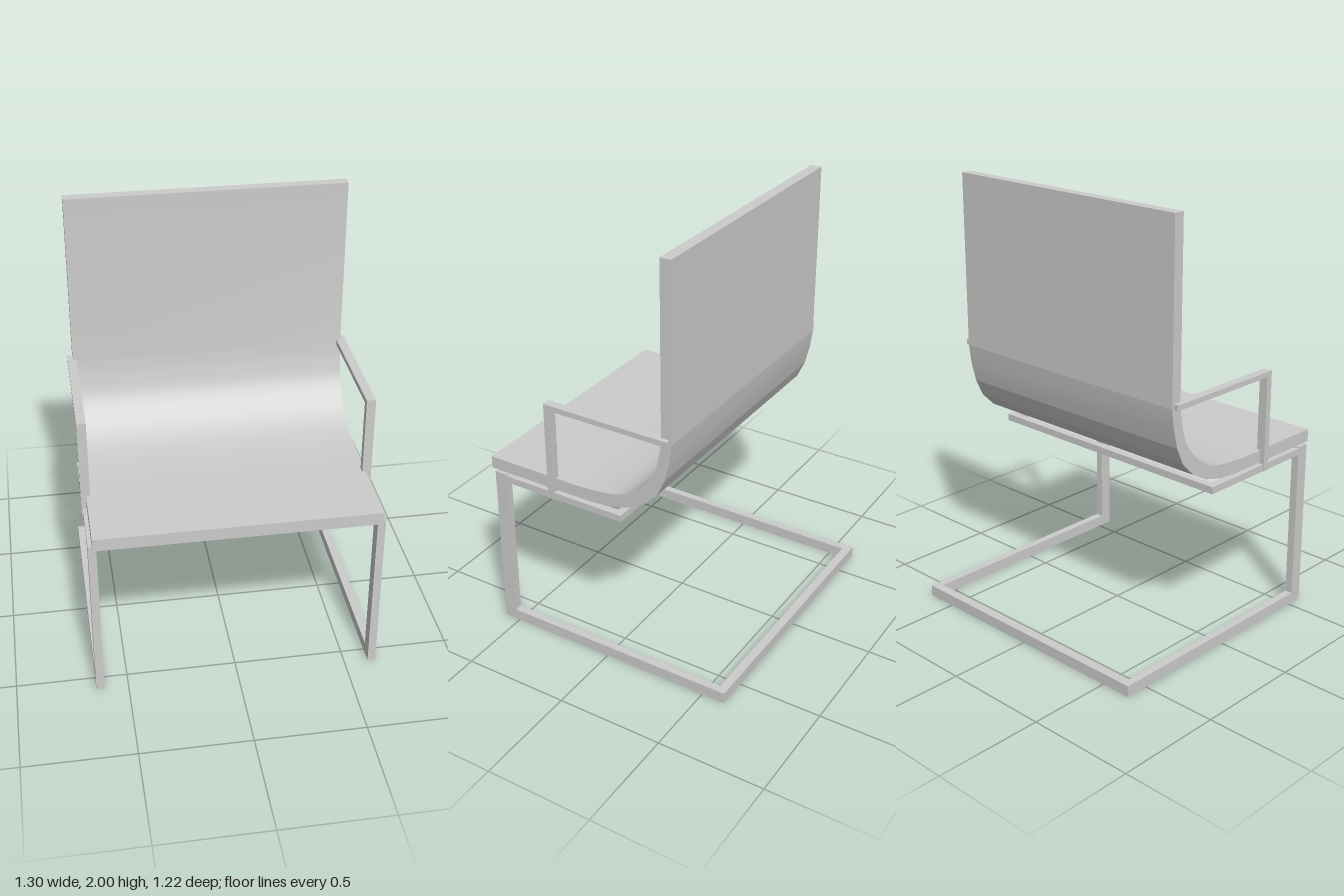
import * as THREE from 'three';
import { toCreasedNormals } from 'three/addons/utils/BufferGeometryUtils.js';

const material = new THREE.MeshStandardMaterial({ color: 0xcccccc });

// Box given by its extents along each axis
function bar(name, [x0, x1], [y0, y1], [z0, z1]) {
  const mesh = new THREE.Mesh(new THREE.BoxGeometry(x1 - x0, y1 - y0, z1 - z0), material);
  mesh.position.set((x0 + x1) / 2, (y0 + y1) / 2, (z0 + z1) / 2);
  mesh.name = name;
  return mesh;
}

// Seat and backrest as one bent sheet: side profile in (z, y), extruded across x
function createShell() {
  const halfWidth = 0.627;
  const v = (z, y) => new THREE.Vector2(z, y);
  const innerBend = new THREE.SplineCurve([
    v(0.14, 0.853), v(0, 0.864), v(-0.1, 0.89), v(-0.185, 0.951),
    v(-0.248, 1.035), v(-0.276, 1.13), v(-0.287, 1.21),
  ]).getPoints(42);
  const outerBend = [
    v(-0.337, 1.2), v(-0.325, 1.11), v(-0.302, 1.02), v(-0.265, 0.94),
    v(-0.2, 0.875), v(-0.115, 0.828), v(-0.015, 0.802), v(0.08, 0.795),
  ];
  const shape = new THREE.Shape([
    v(0.61, 0.795), v(0.61, 0.853), ...innerBend,
    v(-0.287, 2), v(-0.337, 2), ...outerBend,
  ]);
  let geometry = new THREE.ExtrudeGeometry(shape, { depth: halfWidth * 2, bevelEnabled: false });
  geometry.translate(0, 0, -halfWidth);
  geometry.rotateY(-Math.PI / 2); // profile x becomes z
  // Smooth the fine inner bend, keep the coarse outer facets crisp
  geometry = toCreasedNormals(geometry, 0.13);
  const mesh = new THREE.Mesh(geometry, material);
  mesh.name = 'seatAndBackrest';
  return mesh;
}

export function createModel() {
  const group = new THREE.Group();
  group.name = 'cantileverChair';
  group.add(createShell());

  // Mirrored side members
  for (const side of [1, -1]) {
    const label = side > 0 ? 'left' : 'right';
    const span = (a, b) => (side > 0 ? [a, b] : [-b, -a]);
    const tube = span(0.609, 0.645);
    group.add(
      bar(label + 'FrontLeg', tube, [0, 0.795], [0.518, 0.578]),
      bar(label + 'FloorRail', tube, [0, 0.052], [-0.57, 0.518]),
      bar(label + 'SeatRail', tube, [0.757, 0.789], [-0.092, 0.518]),
      bar(label + 'ArmPost', span(0.609, 0.65), [0.757, 1.197], [0.255, 0.285]),
      bar(label + 'Armrest', span(0.609, 0.65), [1.197, 1.222], [-0.328, 0.285]),
    );
  }

  // Cross members
  group.add(
    bar('floorCrossbar', [-0.645, 0.645], [0, 0.052], [-0.61, -0.57]),
    bar('seatCrossbar', [-0.609, 0.609], [0.757, 0.789], [-0.092, -0.056]),
  );
  return group;
}
